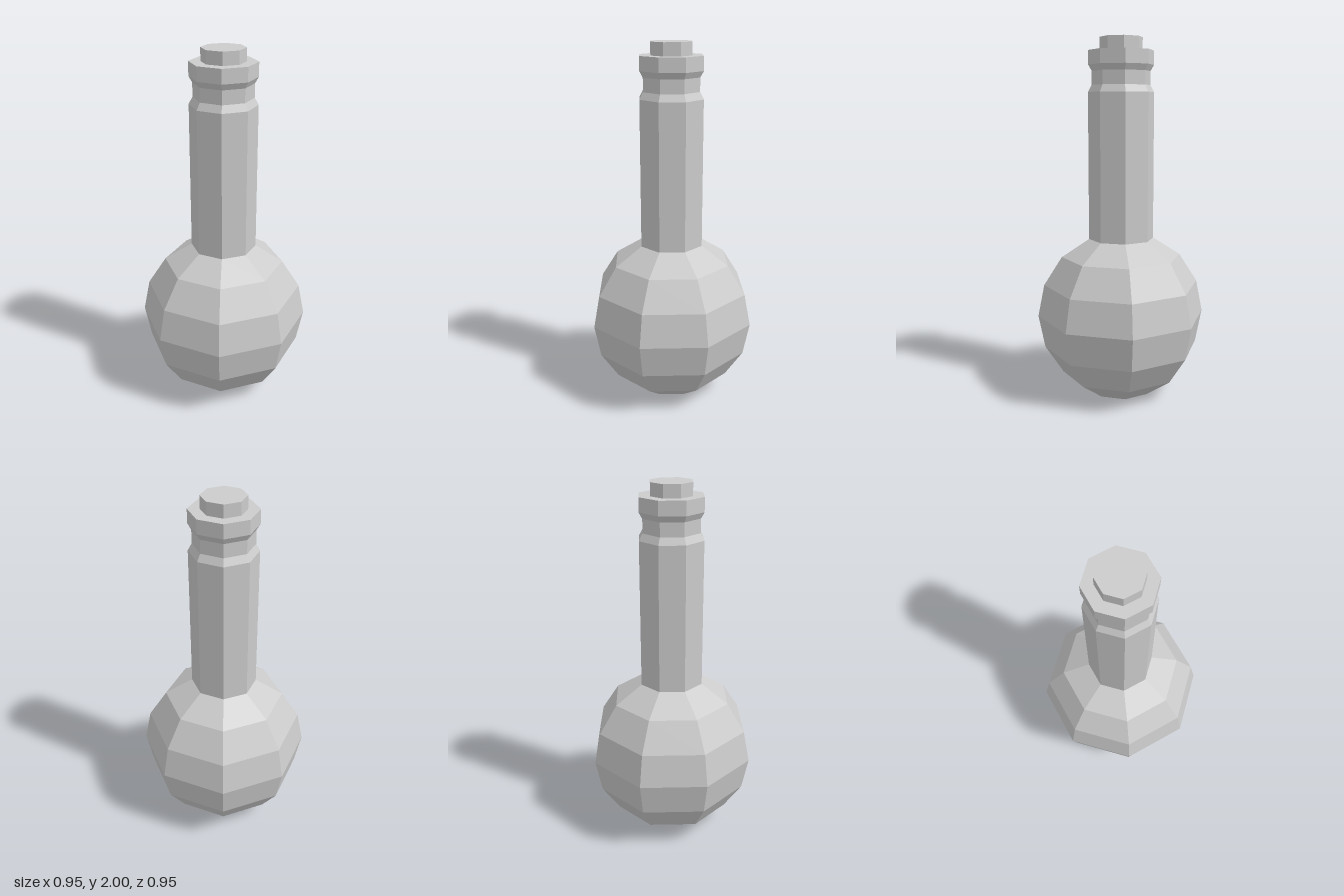
import * as THREE from 'three';

const SIDES = 8;

export function createModel() {
  const group = new THREE.Group();
  group.name = 'flask';
  const glass = new THREE.MeshStandardMaterial({ color: 0xcccccc, flatShading: true });

  // Eight-sided turned part from [radius, height] pairs, bottom to top
  function turned(name, profile) {
    const points = profile.map(([r, y]) => new THREE.Vector2(r, y));
    const mesh = new THREE.Mesh(new THREE.LatheGeometry(points, SIDES), glass);
    mesh.name = name;
    group.add(mesh);
  }

  // Round bulb with a flat foot
  turned('bulb', [
    [0, 0], [0.183, 0], [0.338, 0.11], [0.44, 0.265], [0.476, 0.45],
    [0.44, 0.63], [0.338, 0.79], [0.183, 0.89],
  ]);

  // Straight neck, pinched below the lip
  turned('neck', [
    [0.183, 0.89], [0.183, 1.707], [0.162, 1.745], [0.162, 1.82],
    [0.181, 1.853], [0.181, 1.93], [0, 1.93],
  ]);

  // Stopper standing in the mouth
  turned('stopper', [[0.118, 1.93], [0.118, 2], [0, 2]]);

  return group;
}
